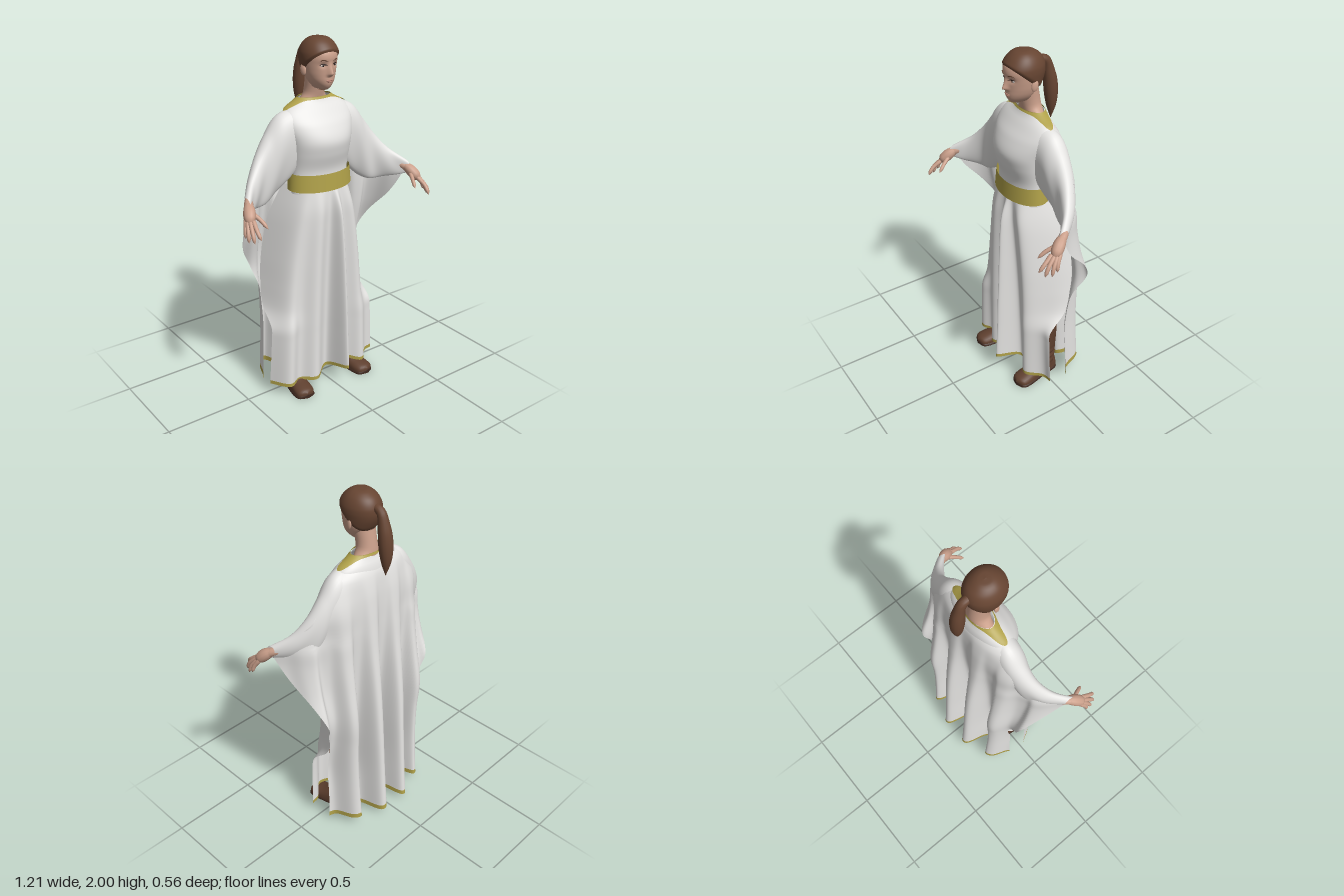
import * as THREE from 'three';

const mat = (name, color) => {
  const m = new THREE.MeshStandardMaterial({ color, side: THREE.DoubleSide });
  m.name = name;
  return m;
};

// Smooth lookup through rows of [key, value, value...]
function table(rows) {
  const r = [...rows].sort((a, b) => a[0] - b[0]), n = r.length - 1;
  const slope = (i, c) => {
    const a = r[Math.max(i - 1, 0)], b = r[Math.min(i + 1, n)];
    return (b[c] - a[c]) / (b[0] - a[0]);
  };
  return (k) => {
    k = Math.min(Math.max(k, r[0][0]), r[n][0]);
    let i = 0;
    while (i < n - 1 && k > r[i + 1][0]) i++;
    const h = r[i + 1][0] - r[i][0], t = (k - r[i][0]) / h, t2 = t * t, t3 = t2 * t;
    return r[i].slice(1).map((v, j) => (2 * t3 - 3 * t2 + 1) * v + (t3 - 2 * t2 + t) * h * slope(i, j + 1)
      + (3 * t2 - 2 * t3) * r[i + 1][j + 1] + (t3 - t2) * h * slope(i + 1, j + 1));
  };
}

// Surface over u, v in 0..1; wrap joins the two ends of u
function grid(nu, nv, fn, wrap = false) {
  const pos = [], idx = [], w = wrap ? nu : nu + 1;
  for (let j = 0; j <= nv; j++) for (let i = 0; i < w; i++) pos.push(...fn(i / nu, j / nv));
  for (let j = 0; j < nv; j++) for (let i = 0; i < nu; i++) {
    const a = j * w + i, b = j * w + (i + 1) % w, c = a + w, d = b + w;
    idx.push(a, b, d, a, d, c);
  }
  const g = new THREE.BufferGeometry();
  g.setAttribute('position', new THREE.Float32BufferAttribute(pos, 3));
  g.setIndex(idx);
  g.computeVertexNormals();
  return g;
}

// Tapered tube through points, radii spread evenly along it
function limb(points, radii, sides = 12, steps = 20) {
  const c = new THREE.CatmullRomCurve3(points.map((p) => new THREE.Vector3(...p)));
  const f = c.computeFrenetFrames(steps), rad = table(radii.map((r, i) => [i / (radii.length - 1), r]));
  return grid(sides, steps, (u, v) => {
    const k = Math.round(v * steps), r = Math.max(rad(v)[0], 0), a = u * 2 * Math.PI;
    return c.getPointAt(v).addScaledVector(f.normals[k], r * Math.cos(a))
      .addScaledVector(f.binormals[k], r * Math.sin(a)).toArray();
  }, true);
}

// Ring with half width, front z and back z around a middle depth
const ring = (u, y, [w, zf, zb], zc = (zf + zb) / 2, off = 0) => {
  const a = u * 2 * Math.PI, c = Math.cos(a);
  return [(w + off) * Math.sin(a), y, zc + (c > 0 ? zf - zc + off : zc - zb + off) * c];
};
const bump = (d, s) => Math.exp(-((d / s) ** 2));

const headAt = table([
  [1.725, 0, 0.045, 0.035], [1.735, 0.03, 0.07, 0.01], [1.755, 0.052, 0.087, -0.02], [1.78, 0.069, 0.094, -0.05],
  [1.81, 0.08, 0.095, -0.08], [1.84, 0.086, 0.096, -0.097], [1.87, 0.09, 0.099, -0.108], [1.9, 0.092, 0.103, -0.112],
  [1.93, 0.088, 0.096, -0.108], [1.96, 0.072, 0.073, -0.09], [1.98, 0.05, 0.047, -0.062], [1.99, 0.026, 0.022, -0.035],
  [1.993, 0, -0.004, -0.008]]);

function headPoint(u, y, hair) {
  let p = ring(u, y, headAt(y), 0);
  if (hair) {
    // Hair sits proud of the skin behind the hairline and sinks below it in front
    const f = y - (1.857 + 0.86 * (p[2] - 0.01));
    const off = Math.min(Math.max(f * 0.5, -0.012), 0.009);
    p = ring(u, y, headAt(y), 0, y > 1.992 ? 0 : off);
    p[1] += off * Math.min(Math.max((y - 1.93) / 0.06, 0), 1) * 0.75;
  } else if (p[2] > 0.03) {
    const nose = Math.min(Math.max((1.885 - y) / 0.065, 0), 1) ** 1.3 * Math.min(Math.max((y - 1.803) / 0.015, 0), 1);
    p[2] += 0.028 * nose * bump(p[0], 0.014) - 0.008 * bump(Math.abs(p[0]) - 0.036, 0.018) * bump(y - 1.865, 0.014);
  }
  return p;
}
const head = (hair) => grid(96, 80, (u, v) => headPoint(u, 1.859 - 0.134 * Math.cos(Math.PI * v), hair), true);
const faceZ = (x, y) => headPoint(Math.asin(x / headAt(y)[0]) / (2 * Math.PI), y, false)[2];

const bodiceAt = table([
  [1.18, 0.18, 0.105, -0.1], [1.3, 0.175, 0.1, -0.1], [1.4, 0.183, 0.127, -0.12], [1.47, 0.192, 0.135, -0.13],
  [1.55, 0.215, 0.1, -0.135], [1.6, 0.215, 0.062, -0.128], [1.635, 0.185, 0.035, -0.118],
  [1.655, 0.145, 0.018, -0.108], [1.68, 0.1, 0.005, -0.1]]);

// Per height: half width, middle z, edge z, fold depth
const capeAt = table([
  [1.64, 0.15, -0.1, -0.06, 0], [1.6, 0.24, -0.128, -0.06, 0], [1.5, 0.32, -0.148, -0.06, 0.006],
  [1.4, 0.395, -0.156, -0.04, 0.011], [1.3, 0.475, -0.16, 0.05, 0.017], [1.24, 0.53, -0.162, 0.1, 0.021],
  [1.15, 0.513, -0.164, 0.07, 0.028], [1, 0.468, -0.168, -0.02, 0.042], [0.85, 0.42, -0.171, -0.11, 0.055],
  [0.75, 0.385, -0.172, -0.14, 0.063], [0.6, 0.335, -0.172, -0.13, 0.075], [0.4, 0.333, -0.172, -0.11, 0.088],
  [0.2, 0.337, -0.193, -0.115, 0.08], [0.04, 0.345, -0.205, -0.12, 0.08]]);
const skirtAt = table([
  [1.22, 0.185, 0.105, -0.08, 0.004], [1.1, 0.23, 0.125, -0.11, 0.032], [1, 0.26, 0.128, -0.13, 0.045],
  [0.8, 0.3, 0.126, -0.13, 0.062], [0.65, 0.32, 0.124, -0.11, 0.073], [0.52, 0.333, 0.123, -0.07, 0.082],
  [0.42, 0.341, 0.122, 0.03, 0.088], [0.35, 0.346, 0.121, 0.04, 0.092], [0.06, 0.36, 0.12, 0.035, 0.11]]);

const capePoint = (u, v) => {
  const s = 2 * u - 1, hem = 0.05 + 0.012 * Math.cos(s * 9);
  const y = 1.64 + (hem - 1.64) * v, [w, zc, ze, amp] = capeAt(y), x = s * w;
  const wave = Math.cos((2 * Math.PI * (x + 0.102)) / 0.175);
  const fold = (Math.tanh(1.4 * wave) / Math.tanh(1.4)) * (1 - 0.5 * s * s);
  return [x, y, zc + (ze - zc) * Math.abs(s) ** 3 - amp * fold];
};
const skirtPoint = (u, v) => {
  const s = 2 * u - 1, hem = 0.06 + 0.05 * bump(s * 0.36 - 0.06, 0.1);
  const y = 1.22 + (hem - 1.22) * v, [w, zc, ze, amp] = skirtAt(y);
  const fold = Math.cos((2 * Math.PI * (s * 0.36 - 0.05)) / 0.17) * (0.22 + 0.75 * bump(s - 0.14, 0.16));
  return [s * w, y, zc + (ze - zc) * Math.abs(s) ** 5 + amp * fold];
};

// Along the arm: x, top y, bottom y, middle z, half thickness
const sleeveAt = table([
  [0, 0.12, 1.645, 1.33, -0.03, 0.095], [0.2, 0.235, 1.612, 1.23, -0.04, 0.092], [0.4, 0.315, 1.52, 1.17, -0.038, 0.074],
  [0.6, 0.385, 1.425, 1.15, -0.02, 0.06], [0.8, 0.455, 1.335, 1.165, 0.028, 0.05], [1, 0.532, 1.265, 1.19, 0.11, 0.036]]);
const sleevePoint = (side) => (u, v) => {
  const [x, top, low, zc, d] = sleeveAt(v), a = u * 2 * Math.PI, k = (1 + Math.cos(a)) / 2;
  const drape = 0.006 * Math.sin(v * 16 + k * 5) * (1 - k);
  return [side * x, low + (top - low) * k, zc + d * Math.sin(a) * (0.55 + 0.45 * k) + drape + 0.02 * (1 - k)];
};

// Boot shaft and foot profiles
const shaftAt = table([[0.04, 0.05, 0.04, -0.09], [0.12, 0.052, 0.035, -0.092], [0.25, 0.06, 0.035, -0.1], [0.42, 0.066, 0.04, -0.107]]);
const footAt = table([[-0.105, 0, 0.05], [-0.095, 0.035, 0.085], [-0.04, 0.048, 0.11], [0.03, 0.05, 0.1],
  [0.1, 0.056, 0.068], [0.15, 0.056, 0.055], [0.18, 0.042, 0.045], [0.195, 0, 0.03]]);

export function createModel() {
  const model = new THREE.Group();
  const cloth = mat('white cloth', 0xe4e3e1), trim = mat('gold trim', 0xb0a149), skin = mat('skin', 0xcba08b),
    hair = mat('brown hair', 0x674532), leather = mat('boot leather', 0x5f402f), sole = mat('dark sole', 0x40291f),
    dark = mat('eye dark', 0x2a1d19), white = mat('eye white', 0xd8cfc8), lip = mat('lips', 0xb88373);
  const add = (name, geo, material, parent = model) => {
    const m = new THREE.Mesh(geo, material);
    m.name = name;
    parent.add(m);
    return m;
  };
  const blob = (name, material, p, s) => {
    const m = add(name, new THREE.SphereGeometry(1, 20, 14), material);
    m.position.set(...p);
    m.scale.set(...s);
    return m;
  };

  // Head, neck and hair
  add('head', head(false), skin);
  add('hair', head(true), hair);
  const neckAt = table([[1.63, 0.115, 0.0, -0.1], [1.665, 0.085, 0.0, -0.105], [1.7, 0.059, 0.007, -0.102], [1.8, 0.057, 0.03, -0.085]]);
  add('neck', grid(32, 12, (u, v) => ring(u, 1.63 + 0.17 * v, neckAt(1.63 + 0.17 * v)), true), skin);
  add('ponytail', limb([[0, 1.925, -0.095], [0, 1.915, -0.137], [0, 1.83, -0.165], [0, 1.7, -0.178], [0, 1.575, -0.178]],
    [0.022, 0.027, 0.036, 0.037, 0.026, 0], 14, 28), hair);

  // Face details
  for (const s of [1, -1]) {
    const x = s * 0.036, z = faceZ(0.036, 1.862);
    blob('eyeWhite', white, [x, 1.862, z], [0.015, 0.0055, 0.004]);
    blob('iris', dark, [x, 1.862, z + 0.002], [0.006, 0.0055, 0.004]);
    const line = (y, arch, r, lift) => limb([0.016, 0.028, 0.042, 0.056].map((q, i) => {
      const yy = y + arch * [0, 0.7, 1, 0.2][i];
      return [s * q, yy, faceZ(q, yy) + lift];
    }), [0.001, r, r, 0], 8, 12);
    add('eyelid', line(1.865, 0.004, 0.0028, 0.002), dark);
    add('eyebrow', line(1.883, 0.009, 0.003, 0), hair);
    const ear = blob('ear', skin, [s * 0.092, 1.835, -0.012], [0.009, 0.03, 0.018]);
    ear.rotation.set(-0.2, s * -0.3, 0);
  }
  blob('upperLip', lip, [0, 1.785, 0.092], [0.023, 0.0045, 0.006]);
  blob('lowerLip', lip, [0, 1.778, 0.092], [0.018, 0.005, 0.006]);

  // Robe: bodice, belt, front skirt and back drape
  add('bodice', grid(64, 40, (u, v) => ring(u, 1.18 + 0.5 * v, bodiceAt(1.18 + 0.5 * v)), true), cloth);
  add('necklineTrim', grid(64, 8, (u, v) => {
    const low = 1.669 - 0.044 * Math.abs(Math.sin(u * 2 * Math.PI)) ** 8, y = low + (1.682 - low) * v;
    const p = ring(u, y, bodiceAt(y), undefined, 0.004);
    return [p[0], p[1] + 0.004, p[2]];
  }, true), trim);
  add('belt', grid(64, 6, (u, v) => ring(u, 1.2 + 0.095 * v - 0.006 * Math.cos(u * 2 * Math.PI),
    [0.197 - 0.008 * v, 0.122 - 0.008 * v, -0.115]), true), trim);
  for (const [name, point] of [['frontSkirt', skirtPoint], ['backDrape', capePoint]]) {
    add(name, grid(120, 70, (u, v) => point(u, v * 0.982)), cloth);
    add(name + 'Hem', grid(120, 2, (u, v) => point(u, 0.982 + v * 0.018)), trim);
  }

  for (const s of [1, -1]) {
    const at = (p) => [s * p[0], p[1], p[2]];
    add('sleeve', grid(40, 36, sleevePoint(s), true), cloth);

    // Wrist and hand
    const hand = new THREE.Group();
    hand.name = s > 0 ? 'leftHand' : 'rightHand';
    model.add(hand);
    add('wrist', limb([[0.488, 1.245, 0.065], [0.51, 1.235, 0.095], [0.53, 1.222, 0.125], [0.545, 1.2, 0.15]].map(at),
      [0.018, 0.022, 0.024, 0.024]), skin, hand);
    add('palm', limb([[0.525, 1.23, 0.118], [0.542, 1.205, 0.15], [0.558, 1.175, 0.18], [0.568, 1.152, 0.203]].map(at),
      [0.022, 0.03, 0.032, 0.026, 0]), skin, hand);
    const fingers = [
      [[0.572, 1.175, 0.165], [0.59, 1.135, 0.19], [0.6, 1.095, 0.2]],
      [[0.572, 1.168, 0.182], [0.591, 1.123, 0.215], [0.597, 1.078, 0.23]],
      [[0.564, 1.168, 0.195], [0.58, 1.125, 0.24], [0.583, 1.08, 0.262]],
      [[0.55, 1.172, 0.2], [0.56, 1.137, 0.25], [0.558, 1.1, 0.283]],
      [[0.533, 1.2, 0.15], [0.51, 1.172, 0.2], [0.492, 1.132, 0.245]]];
    fingers.forEach((f, i) => add(i === 4 ? 'thumb' : 'finger',
      limb(f.map(at), [0.012, 0.0125, 0.0115, 0.011, 0.0105, 0.009, 0], 10, 18), skin, hand));

    // Boot with creases at the ankle
    const boot = new THREE.Group();
    boot.name = s > 0 ? 'leftBoot' : 'rightBoot';
    boot.position.x = s * 0.195;
    boot.rotation.y = s * 0.1;
    model.add(boot);
    add('bootShaft', grid(32, 40, (u, v) => {
      const y = 0.04 + 0.38 * v;
      return ring(u, y, shaftAt(y), undefined, 0.005 * Math.sin(y * 150 + Math.sin(u * 6.283) * 1.2) * bump(y - 0.13, 0.05));
    }, true), leather, boot);
    const foot = (low, height, grow) => grid(28, 30, (u, v) => {
      const z = 0.045 - 0.15 * Math.cos(Math.PI * v), [w, h] = footAt(z), a = u * 2 * Math.PI;
      const k = Math.sin(a) > 0 ? (height ?? h - low) : 0;
      return [(w > 0.001 ? w + grow : 0) * Math.cos(a) + s * 0.006 * z / 0.2, low + k * Math.abs(Math.sin(a)) ** 0.8, z * (1 + grow)];
    }, true);
    add('bootFoot', foot(0.015, null, 0), leather, boot);
    add('bootSole', foot(0, 0.024, 0.004), sole, boot);
  }
  return model;
}
